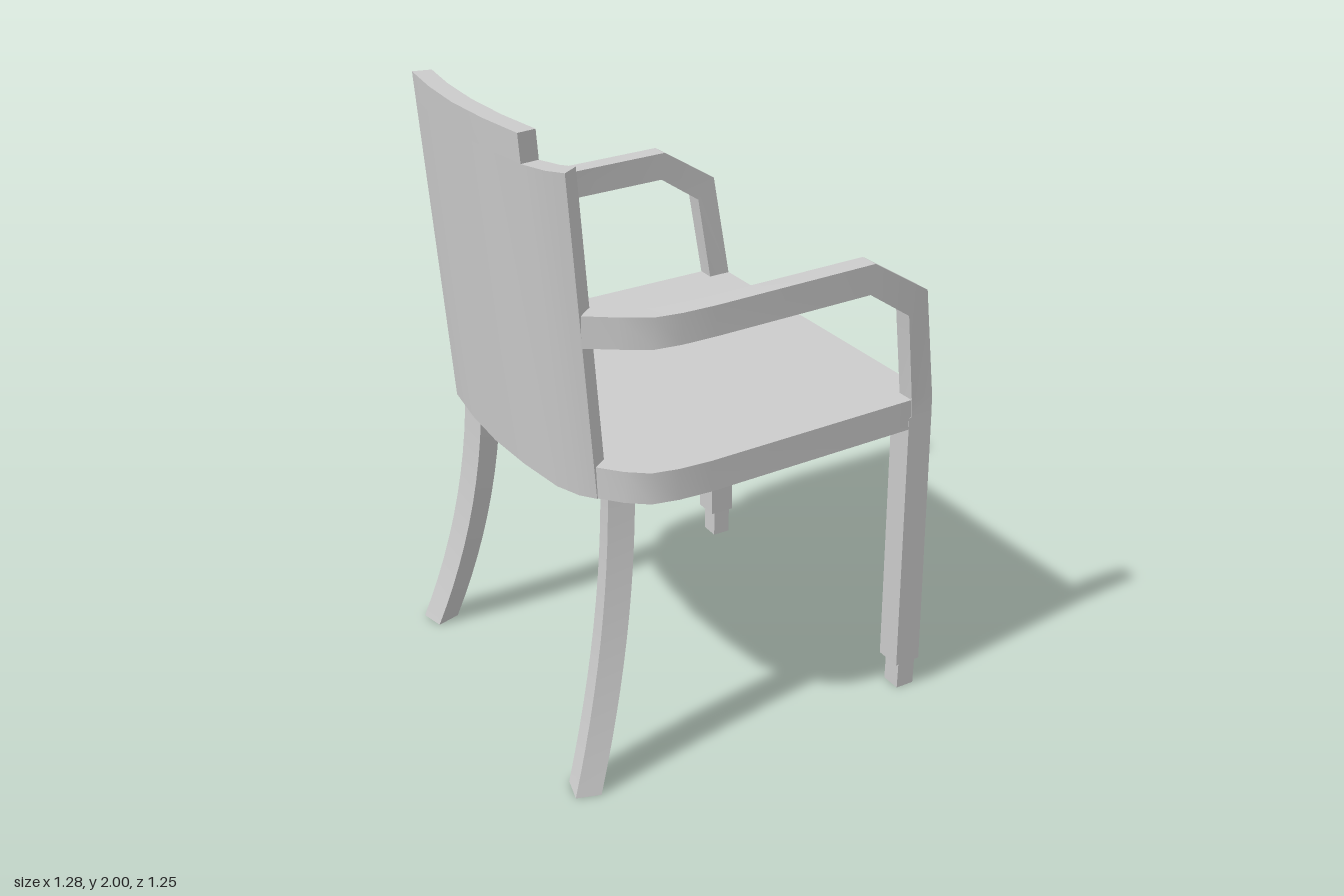
import * as THREE from 'three';
import { toCreasedNormals } from 'three/addons/utils/BufferGeometryUtils.js';

const material = new THREE.MeshStandardMaterial({ color: 0xcccccc });

function addMesh(group, name, geometry) {
  const mesh = new THREE.Mesh(toCreasedNormals(geometry, 0.5), material);
  mesh.name = name;
  group.add(mesh);
}

// Closed bar through a list of four-cornered sections; faces are turned outward.
function bar(sections) {
  const tris = [];
  const quad = (a, b, c, d) => tris.push([a, b, c], [a, c, d]);
  for (let i = 0; i + 1 < sections.length; i++) {
    const p = sections[i], q = sections[i + 1];
    for (let k = 0; k < 4; k++) {
      const n = (k + 1) % 4;
      quad(p[k], p[n], q[n], q[k]);
    }
  }
  const end = sections[sections.length - 1];
  quad(...[...sections[0]].reverse());
  quad(...end);
  let volume = 0;
  for (const [a, b, c] of tris) volume += a.dot(b.clone().cross(c));
  const points = tris.flatMap(([a, b, c]) => (volume < 0 ? [a, c, b] : [a, b, c]));
  const geometry = new THREE.BufferGeometry().setFromPoints(points);
  geometry.computeVertexNormals();
  return geometry;
}

// Upright slab from a plan outline of [x, z] points.
function slab(outline, y0, y1) {
  const shape = new THREE.Shape(outline.map(([x, z]) => new THREE.Vector2(x, -z)));
  const geometry = new THREE.ExtrudeGeometry(shape, { depth: y1 - y0, bevelEnabled: false });
  return geometry.rotateX(-Math.PI / 2).translate(0, y0, 0);
}

// Completes a half outline (z >= 0, front to back) with its mirror image.
const mirrored = (half) => [
  ...half,
  ...half.filter((p) => p[1] > 0).reverse().map(([x, z]) => [x, -z]),
];

// Curved panel outline: outer face from centre to edge, then inner face back.
function panelOutline(outer, inner) {
  const flip = (pts) => pts.filter((p) => p[1] > 0).map(([x, z]) => [x, -z]);
  return [...outer, ...[...inner].reverse(), ...flip(inner), ...flip(outer).reverse()];
}

export function createModel() {
  const chair = new THREE.Group();
  chair.name = 'armchair';

  // Seat: rounded at the back, rising slightly to the front
  const seat = slab(mirrored([
    [0.618, 0.605], [-0.17, 0.61], [-0.27, 0.602], [-0.35, 0.583], [-0.41, 0.535],
    [-0.46, 0.475], [-0.5, 0.42], [-0.528, 0.35], [-0.545, 0.2], [-0.556, 0],
  ]), 0.948, 1.047);
  seat.applyMatrix4(new THREE.Matrix4().set(1, 0, 0, 0, 0.023, 1, 0, 0, 0, 0, 1, 0, 0, 0, 0, 1));
  addMesh(chair, 'seat', seat);

  // Backrest: curved leaning panel with a stepped top
  const outer = [[-0.645, 0], [-0.636, 0.18], [-0.615, 0.35], [-0.585, 0.43], [-0.55, 0.475]];
  const inner = [[-0.585, 0], [-0.577, 0.18], [-0.557, 0.34], [-0.53, 0.405], [-0.5, 0.44]];
  const lean = new THREE.Matrix4().set(1, -0.08, 0, 0.16, 0, 1, 0, 0, 0, 0, 1, 0, 0, 0, 0, 1);
  const main = slab(panelOutline(outer, inner), 0.938, 1.915);
  const crest = slab(panelOutline(outer.slice(0, 3), inner.slice(0, 3)), 1.915, 2);
  addMesh(chair, 'backrest', main.applyMatrix4(lean));
  addMesh(chair, 'backrestCrest', crest.applyMatrix4(lean));

  for (const side of [1, -1]) {
    const label = side > 0 ? 'left' : 'right';
    const v = (x, y, z) => new THREE.Vector3(x, y, z * side);
    // Section from an upper/front edge, a lower/rear edge and the outer and inner z
    const section = ([x1, y1, x2, y2, zo, zi, dx = 0]) => [
      v(x1, y1, zo), v(x1 + dx, y1, zi), v(x2 + dx, y2, zi), v(x2, y2, zo),
    ];

    // Front leg with a narrower foot
    addMesh(chair, label + 'FrontLeg', bar([
      [0.64, 0.1, 0.55, 0.1, 0.613, 0.525],
      [0.62, 1.0, 0.535, 1.0, 0.607, 0.52],
    ].map(section)));
    addMesh(chair, label + 'FrontFoot', bar([
      [0.632, 0, 0.568, 0, 0.602, 0.535],
      [0.632, 0.11, 0.568, 0.11, 0.602, 0.535],
    ].map(section)));

    // Arm: post, angled elbow, then a rail curving in to the backrest
    addMesh(chair, label + 'Arm', bar([
      [0.62, 1.0, 0.545, 1.0, 0.607, 0.547],
      [0.617, 1.06, 0.54, 1.06, 0.607, 0.547],
      [0.557, 1.42, 0.495, 1.35, 0.622, 0.56],
      [0.36, 1.54, 0.348, 1.447, 0.624, 0.561],
      [-0.17, 1.525, -0.17, 1.433, 0.625, 0.56],
      [-0.27, 1.52, -0.27, 1.427, 0.615, 0.55, 0.012],
      [-0.35, 1.517, -0.35, 1.423, 0.598, 0.537, 0.025],
      [-0.43, 1.514, -0.43, 1.42, 0.543, 0.49, 0.037],
      [-0.508, 1.511, -0.508, 1.416, 0.48, 0.435, 0.05],
    ].map(section)));

    // Rear leg: turned diagonally and sweeping back and outward
    const foot = [[-0.605, 0.572], [-0.53, 0.595], [-0.505, 0.515], [-0.585, 0.49]];
    const steps = 12, height = 0.96;
    const sections = [];
    for (let i = 0; i <= steps; i++) {
      const t = i / steps, shift = 1 - (1 - t) ** 2;
      sections.push(foot.map(([x, z]) => v(x + 0.165 * shift, t * height, z - 0.08 * shift)));
    }
    addMesh(chair, label + 'RearLeg', bar(sections));
  }
  return chair;
}
